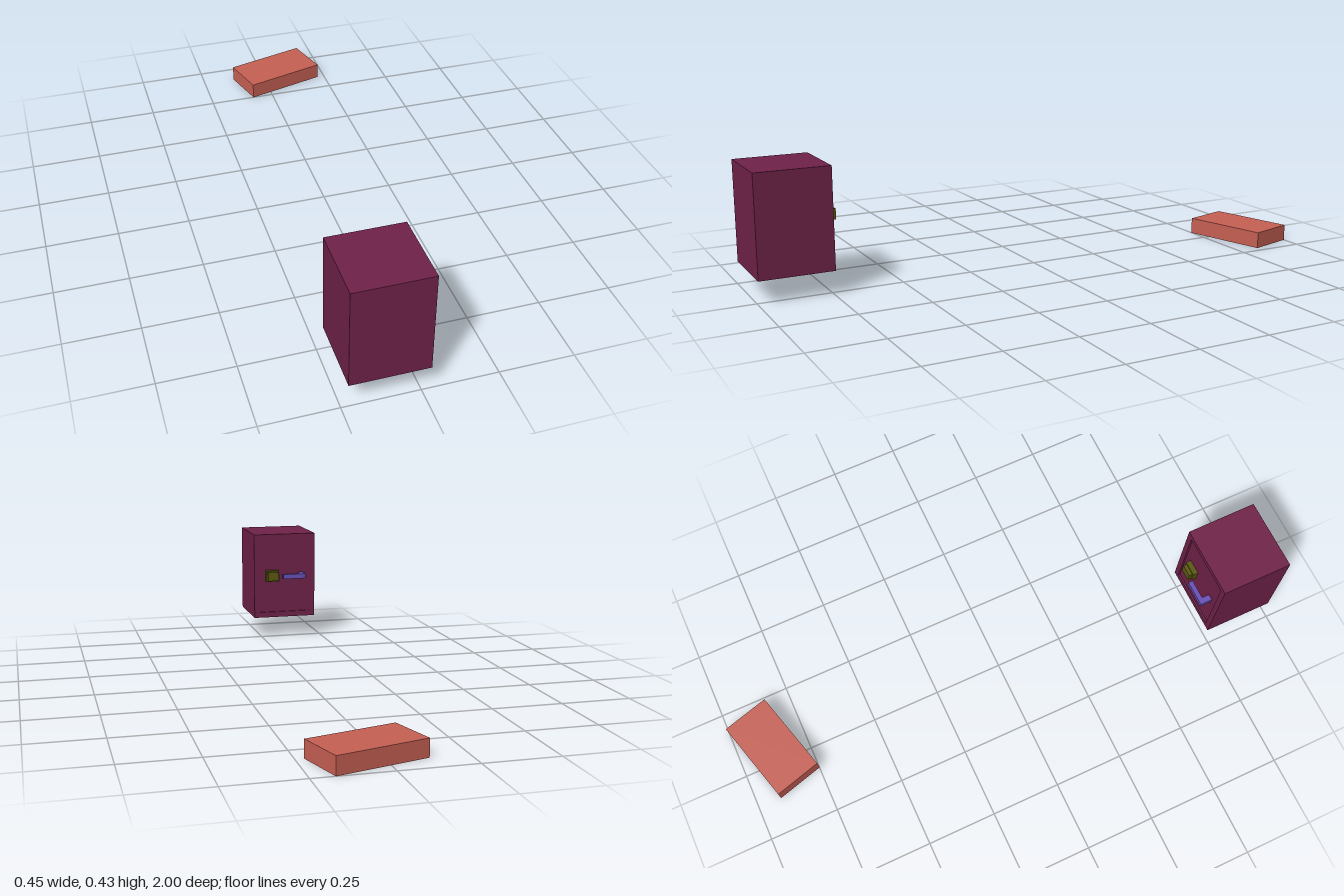
import * as THREE from 'three';

const material = (name, color) => {
  const m = new THREE.MeshStandardMaterial({ color });
  m.name = name;
  return m;
};

// Box given by its minimum and maximum corners
function box(name, mat, [x0, y0, z0], [x1, y1, z1]) {
  const mesh = new THREE.Mesh(new THREE.BoxGeometry(x1 - x0, y1 - y0, z1 - z0), mat);
  mesh.position.set((x0 + x1) / 2, (y0 + y1) / 2, (z0 + z1) / 2);
  mesh.name = name;
  return mesh;
}

function rectangle(Type, x0, y0, x1, y1) {
  const path = new Type();
  path.moveTo(x0, y0).lineTo(x1, y0).lineTo(x1, y1).lineTo(x0, y1).closePath();
  return path;
}

export function createModel() {
  const plum = material('plum', 0x702249);
  const brickRed = material('brick red', 0xc76054);
  const violet = material('violet', 0x6a50b8);
  const olive = material('olive', 0x5c5810);

  const model = new THREE.Group();
  model.name = 'safeAndBrick';

  // Safe: solid body with a raised frame around the recessed door at the back
  const safe = new THREE.Group();
  safe.name = 'safe';
  const L = -0.227, R = 0.03, B = 0.082, T = 0.431, back = 0.745, recess = 0.007, rim = 0.022;
  safe.add(box('safeBody', plum, [L, B, back + recess], [R, T, 1]));
  const frameShape = rectangle(THREE.Shape, L, B, R, T);
  frameShape.holes.push(rectangle(THREE.Path, L + rim, B + rim, R - rim, T - rim));
  const frame = new THREE.Mesh(
    new THREE.ExtrudeGeometry(frameShape, { depth: recess, bevelEnabled: false }), plum);
  frame.position.z = back;
  frame.name = 'doorFrame';
  safe.add(frame);

  // Stepped square dial
  const dial = new THREE.Group();
  dial.name = 'dial';
  dial.add(
    box('dialBase', olive, [-0.073, 0.234, 0.733], [-0.018, 0.281, back + recess]),
    box('dialKnob', olive, [-0.067, 0.239, 0.72], [-0.024, 0.276, 0.733]));

  // Lever handle on a single post
  const handle = new THREE.Group();
  handle.name = 'handle';
  handle.add(
    box('handlePost', violet, [-0.18, 0.248, 0.725], [-0.158, 0.267, back + recess]),
    box('handleBar', violet, [-0.18, 0.248, 0.708], [-0.086, 0.267, 0.725]));
  safe.add(dial, handle);

  // Brick lying at an angle behind
  const brick = box('brick', brickRed, [-0.157, 0, -0.0865], [0.157, 0.059, 0.0865]);
  brick.position.set(0.048, 0.0295, -0.875);
  brick.rotation.y = 0.273;

  model.add(safe, brick);
  return model;
}
